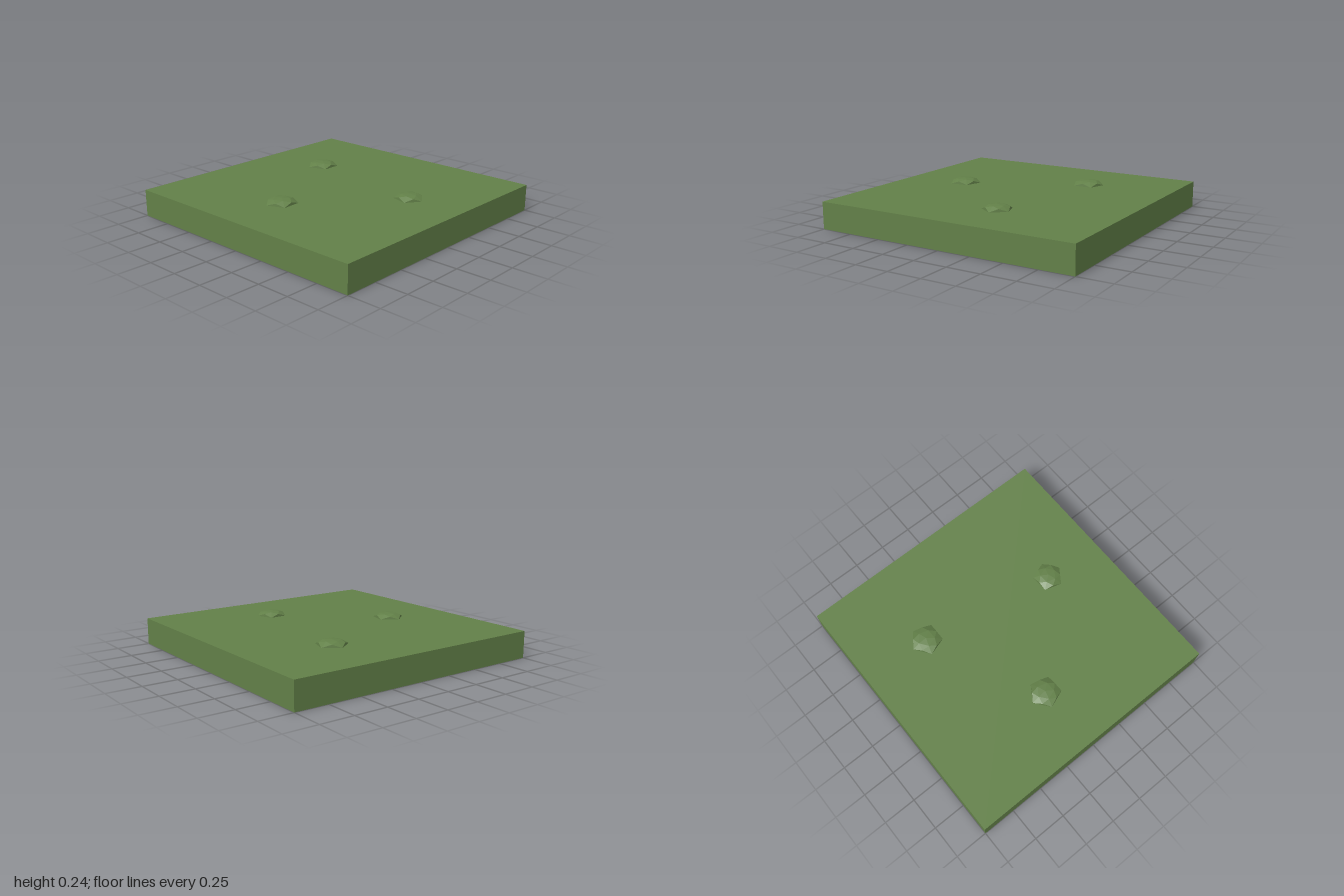
import * as THREE from 'three';

const grass = new THREE.MeshStandardMaterial({ color: 0x628048 });
grass.name = 'grass green';
grass.flatShading = true;

const GROUND = 0.2;

// Low faceted tuft: apex, inner ring, raised side midpoints and five ground corners
function tuftGeometry(radius, height) {
  const ring = (r, y, offset) => Array.from({ length: 5 }, (_, i) => {
    const a = (i + offset) * Math.PI * 2 / 5;
    return [Math.cos(a) * r * radius, y * height, Math.sin(a) * r * radius];
  });
  const apex = [0, height, 0];
  const inner = ring(0.53, 0.86, 0);
  const mids = ring(0.79, 0.58, 0.5);
  const corners = ring(1, 0, 0);
  const points = [];
  for (let i = 0; i < 5; i++) {
    const j = (i + 1) % 5;
    points.push(
      apex, inner[j], inner[i],
      inner[i], inner[j], mids[i],
      inner[i], mids[i], corners[i],
      inner[j], corners[j], mids[i],
      corners[i], mids[i], corners[j],
    );
  }
  const geometry = new THREE.BufferGeometry();
  geometry.setAttribute('position', new THREE.Float32BufferAttribute(points.flat(), 3));
  geometry.computeVertexNormals();
  return geometry;
}

export function createModel() {
  const model = new THREE.Group();
  model.name = 'grassTile';

  // Square ground slab
  const slab = new THREE.Mesh(new THREE.BoxGeometry(2, GROUND, 2), grass);
  slab.name = 'groundSlab';
  slab.position.y = GROUND / 2;
  model.add(slab);

  // Three scattered tufts: x, z, radius, turn in degrees
  const tufts = [
    [-0.48, -0.34, 0.12, 36],
    [0.54, -0.165, 0.113, -2],
    [-0.062, 0.516, 0.119, 33],
  ];
  tufts.forEach(([x, z, radius, turn], i) => {
    const tuft = new THREE.Mesh(tuftGeometry(radius, 0.037), grass);
    tuft.name = `grassTuft${i + 1}`;
    tuft.position.set(x, GROUND, z);
    tuft.rotation.y = -THREE.MathUtils.degToRad(turn);
    model.add(tuft);
  });

  return model;
}
